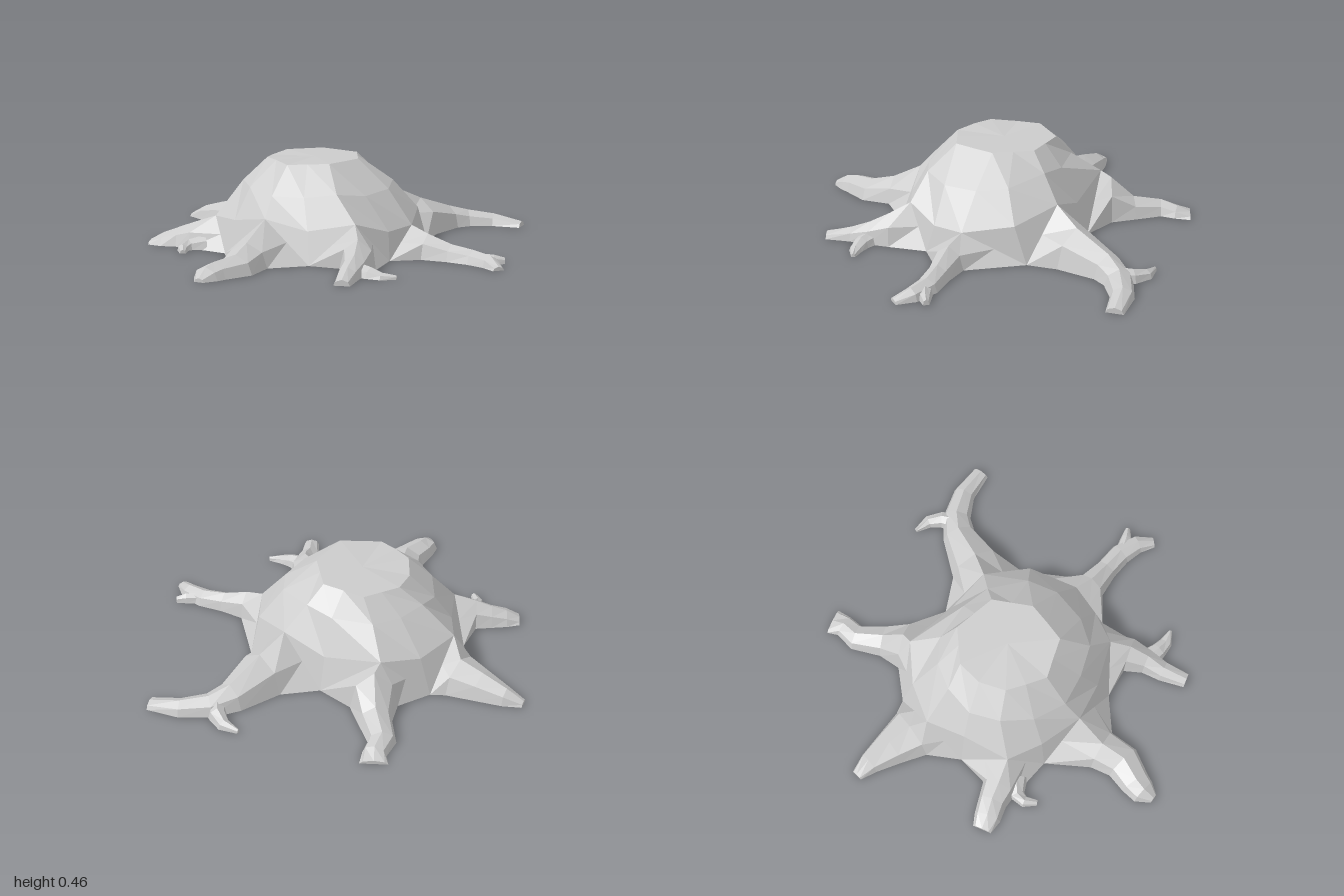
import * as THREE from 'three';

const material = new THREE.MeshStandardMaterial({ color: 0xcccccc, flatShading: true, side: THREE.DoubleSide });
const GROUND = 0.01;

// Skins a list of rings (closed loops or open arches) and closes the last one with a fan.
function loft(name, rings, closed) {
  const pos = [];
  const tri = (...pts) => pts.forEach(p => pos.push(p.x, p.y, p.z));
  const n = rings[0].length;
  for (let r = 0; r < rings.length - 1; r++) {
    for (let i = 0; i < (closed ? n : n - 1); i++) {
      const j = (i + 1) % n;
      const a = rings[r][i], b = rings[r][j], c = rings[r + 1][i], d = rings[r + 1][j];
      tri(a, c, d);
      tri(a, d, b);
    }
  }
  const last = rings[rings.length - 1];
  const mid = last.reduce((s, p) => s.add(p), new THREE.Vector3()).divideScalar(n);
  last.forEach((p, i) => tri(mid, last[(i + 1) % n], p));
  const geo = new THREE.BufferGeometry();
  geo.setAttribute('position', new THREE.Float32BufferAttribute(pos, 3));
  geo.computeVertexNormals();
  const mesh = new THREE.Mesh(geo, material);
  mesh.name = name;
  return mesh;
}

// Arched sections along stations [x, z, half width, height].
const ARCH = [[1, 0], [0.75, 0.65], [0, 1], [-0.75, 0.65], [-1, 0]];
function arches(stations) {
  return stations.map(([x, z, w, h], k) => {
    const p = stations[Math.max(k - 1, 0)], q = stations[Math.min(k + 1, stations.length - 1)];
    const dir = new THREE.Vector2(q[0] - p[0], q[1] - p[1]).normalize();
    return ARCH.map(([s, t]) => new THREE.Vector3(x - dir.y * w * s, GROUND + h * t, z + dir.x * w * s));
  });
}

// Trunk rings [x, z] or [x, z, y]; even columns are root ridges, odd ones the hollows between.
const FEET = [[.42, .26], [.08, .5], [-.42, .4], [-.63, .02], [-.52, -.42], [.03, -.5], [.45, -.27]];
const LOW = [[.47, .06, .16], [.4, .22, .15], [.28, .38, .21], [.05, .44, .17], [-.17, .46, .22], [-.38, .36, .18], [-.54, .25, .17],
  [-.56, 0, .2], [-.6, -.2, .235], [-.46, -.38, .2], [-.28, -.51, .245], [.02, -.44, .18], [.24, -.38, .26], [.42, -.2, .2]];
const SHOULDER = [[.33, .02, .33], [.27, .2, .32], [.16, .32, .34], [0, .36, .32], [-.17, .37, .32], [-.33, .28, .34], [-.43, .14, .35],
  [-.47, -.02, .33], [-.43, -.17, .38], [-.34, -.29, .37], [-.21, -.36, .36], [0, -.35, .36], [.14, -.29, .38], [.3, -.14, .35]];
const TOP = [[.15, -.02], [.11, .09], [.07, .19], [-.04, .215, .465], [-.14, .24, .46], [-.23, .17], [-.31, .1],
  [-.34, -.04, .46], [-.31, -.17], [-.23, -.23], [-.15, -.29], [-.04, -.255], [.07, -.22], [.11, -.12]];

// Roots in the order of the even columns
const ROOTS = {
  leftRoot: [[.57, .1, .08, .12], [.7, .12, .06, .08], [.82, .14, .06, .065], [.92, .19, .05, .055], [.98, .26, .03, .02]],
  frontLeftRoot: [[.33, .48, .09, .15], [.35, .58, .065, .1], [.35, .68, .055, .06], [.37, .81, .04, .03]],
  frontRoot: [[-.2, .62, .11, .12], [-.2, .75, .1, .09], [-.26, .86, .08, .075], [-.28, .92, .07, .06], [-.285, .985, .025, .02]],
  frontRightRoot: [[-.66, .27, .09, .12], [-.74, .28, .075, .09], [-.82, .3, .07, .06], [-.89, .31, .05, .02]],
  rightRoot: [[-.65, -.28, .14, .14], [-.77, -.33, .1, .11], [-.9, -.38, .06, .07], [-.99, -.4, .03, .02]],
  backRightRoot: [[-.26, -.57, .12, .21], [-.29, -.69, .085, .1], [-.35, -.83, .07, .07], [-.33, -.92, .06, .05], [-.34, -.99, .07, .02]],
  backLeftRoot: [[.34, -.5, .14, .18], [.45, -.68, .09, .11], [.54, -.75, .075, .08], [.68, -.79, .06, .06], [.84, -.78, .045, .03]],
};
const FLAT_BOTTOMED = ['rightRoot', 'backRightRoot'];
const FORKS = {
  backLeftFork: [[.5, -.74, .05, .07], [.48, -.81, .045, .06], [.43, -.87, .035, .04], [.35, -.9, .01, .02]],
  leftFork: [[.84, .14, .04, .05], [.92, .12, .03, .045], [.97, .1, .015, .03]],
  frontLeftFork: [[.36, .57, .06, .06], [.44, .6, .045, .05], [.5, .61, .035, .03], [.57, .6, .01, .02]],
  frontRightFork: [[-.57, .32, .06, .07], [-.64, .37, .04, .05], [-.65, .42, .03, .035], [-.62, .48, .015, .02]],
};

export function createModel() {
  const group = new THREE.Group();
  group.name = 'treeStump';
  const ring = (pts, y) => pts.map(p => new THREE.Vector3(p[0], p[2] ?? y, p[1]));
  const feet = ring(FEET, GROUND), low = ring(LOW);

  // hollow trunk: its hem touches the ground in the hollows and arches up over each root
  const hem = low.map((p, i) => (i % 2 ? feet[(i - 1) / 2] : p));
  group.add(loft('trunk', [hem, low, ring(SHOULDER), ring(TOP, 0.47)], true));

  // spreading roots, each growing out of its arch in the hem
  Object.entries(ROOTS).forEach(([name, stations], k) => {
    const ridge = low[2 * k], next = feet[k], prev = feet[(k + 6) % 7];
    const mouth = [next, next.clone().lerp(ridge, 0.5), ridge, prev.clone().lerp(ridge, 0.5), prev];
    group.add(loft(name, [mouth, ...arches(stations)], FLAT_BOTTOMED.includes(name)));
  });

  // small side forks
  for (const [name, stations] of Object.entries(FORKS)) group.add(loft(name, arches(stations), false));
  return group;
}
